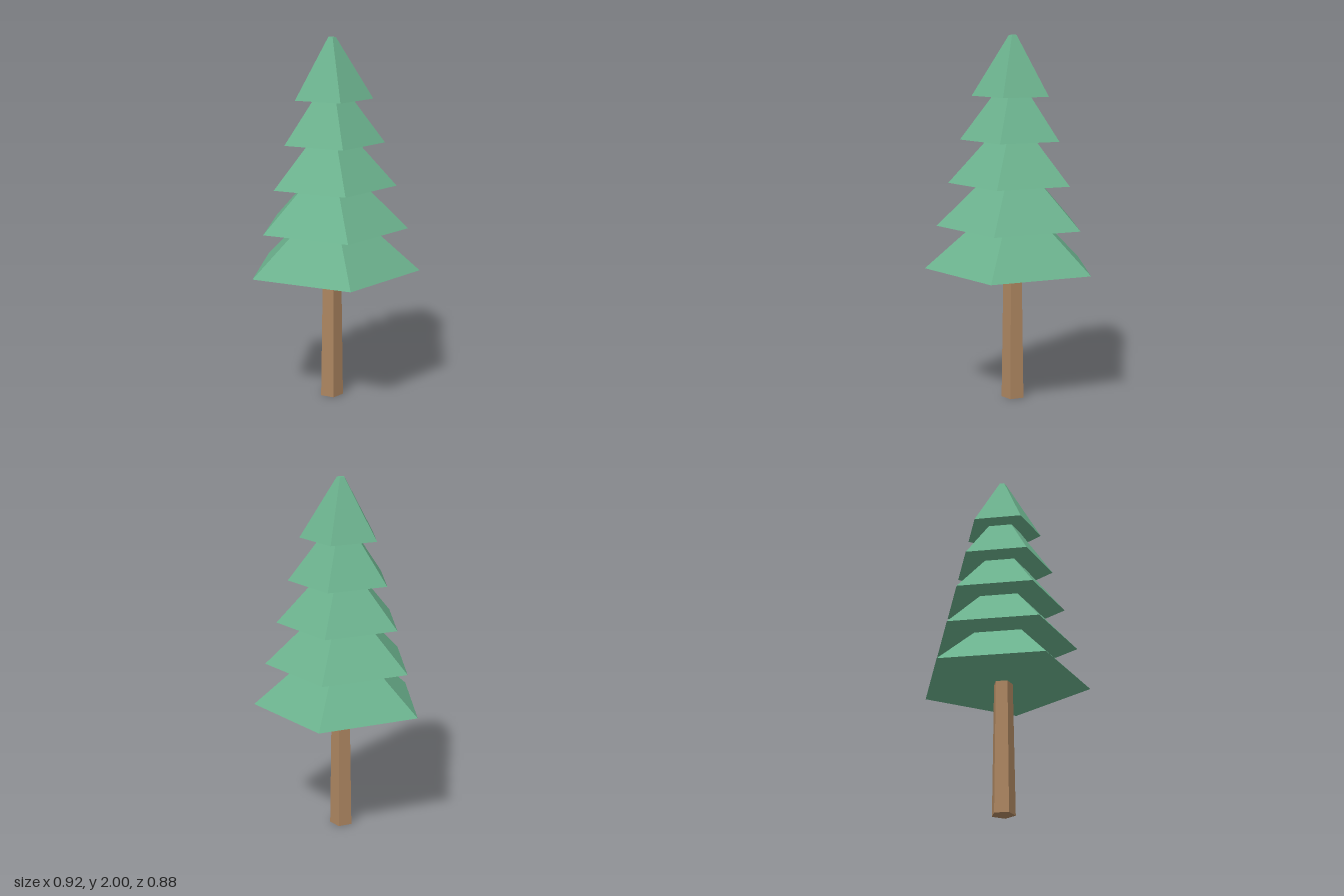
import * as THREE from 'three';

const SIDES = 5;
const AXIS_Z = 0.044; // the five-sided outline is centred by its bounds, so its axis sits forward

export function createModel() {
  const model = new THREE.Group();
  model.name = 'pineTree';

  const foliage = new THREE.MeshStandardMaterial({ color: 0x6bb18d });
  foliage.name = 'foliageGreen';
  const bark = new THREE.MeshStandardMaterial({ color: 0xac8560 });
  bark.name = 'barkBrown';

  // Five-sided frustum with one corner pointing back and a flat face in front
  function frustum(name, material, bottomRadius, topRadius, y0, y1) {
    const geometry = new THREE.CylinderGeometry(
      topRadius, bottomRadius, y1 - y0, SIDES, 1, false, Math.PI
    ).toNonIndexed();
    geometry.computeVertexNormals(); // faceted normals
    const mesh = new THREE.Mesh(geometry, material);
    mesh.name = name;
    mesh.position.set(0, (y0 + y1) / 2, AXIS_Z);
    model.add(mesh);
  }

  // Trunk, tapering slightly up into the lowest branches
  frustum('trunk', bark, 0.066, 0.054, 0, 0.76);

  // Branch tiers from bottom to top: [bottom radius, top radius]
  const tiers = [
    [0.485, 0.218],
    [0.419, 0.177],
    [0.353, 0.14],
    [0.288, 0.11],
    [0.223, 0.022],
  ];
  const firstY = 0.737;
  const step = 0.235;
  tiers.forEach(([bottom, top], i) => {
    const y0 = firstY + i * step;
    const y1 = i === tiers.length - 1 ? 2 : y0 + step;
    frustum(`branchTier${i + 1}`, foliage, bottom, top, y0, y1);
  });

  return model;
}
